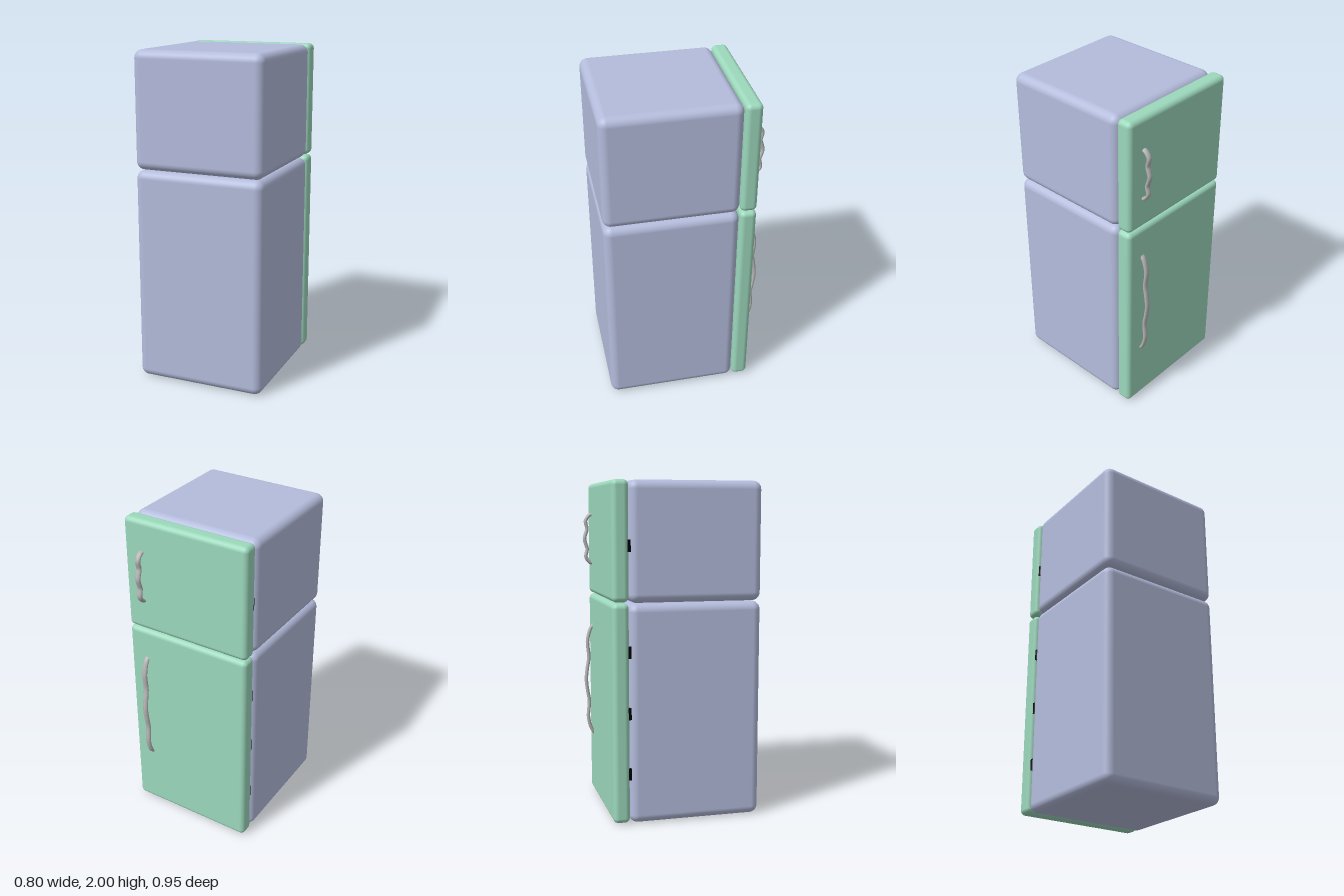
import * as THREE from 'three';
import { RoundedBoxGeometry } from 'three/addons/geometries/RoundedBoxGeometry.js';

const paint = (color) => new THREE.MeshStandardMaterial({ color });

export function createModel() {
  const model = new THREE.Group();
  const bodyMat = paint(0xb4bcdc);
  const doorMat = paint(0x9cd8bc);
  const handleMat = paint(0xb4b4b4);
  const hingeMat = paint(0x000000);

  function add(name, geometry, material, x, y, z) {
    const mesh = new THREE.Mesh(geometry, material);
    mesh.name = name;
    mesh.position.set(x, y, z);
    model.add(mesh);
    return mesh;
  }

  // Rounded slab filling the given height and depth range
  function slab(name, material, y0, y1, z0, z1, radius) {
    const geometry = new RoundedBoxGeometry(0.8, y1 - y0, z1 - z0, 5, radius);
    add(name, geometry, material, 0, (y0 + y1) / 2, (z0 + z1) / 2);
  }

  // Wavy grip: flattened tube, mirrored about its middle height
  function handle(name, yMid, half, profile) {
    const lower = profile.map(([t, z]) => new THREE.Vector3(0, -t * half, z));
    const upper = profile.slice(0, -1).reverse().map(([t, z]) => new THREE.Vector3(0, t * half, z));
    const curve = new THREE.CatmullRomCurve3([...lower, ...upper]);
    const mesh = add(name, new THREE.TubeGeometry(curve, 64, 0.011, 14), handleMat, 0.285, yMid, 0);
    mesh.scale.x = 1.55;
  }

  // Cabinet bodies
  slab('refrigeratorBody', bodyMat, 0, 1.3, -0.322, 0.475, 0.05);
  slab('freezerBody', bodyMat, 1.303, 2, -0.322, 0.475, 0.05);

  // Doors
  slab('refrigeratorDoor', doorMat, 0.008, 1.303, -0.421, -0.323, 0.03);
  slab('freezerDoor', doorMat, 1.31, 2, -0.421, -0.323, 0.03);

  // Handles, as [fraction of half length, z] from the end to the middle
  handle('refrigeratorHandle', 0.755, 0.36,
    [[1, -0.408], [0.93, -0.43], [0.7, -0.453], [0.4, -0.446], [0.2, -0.457], [0, -0.464]]);
  handle('freezerHandle', 1.655, 0.155,
    [[1, -0.408], [0.95, -0.432], [0.73, -0.456], [0.4, -0.448], [0.2, -0.457], [0, -0.464]]);

  // Hinge pins between cabinet and doors
  for (const y of [0.3, 0.66, 1.02, 1.63]) {
    add('hinge', new THREE.CylinderGeometry(0.022, 0.022, 0.07, 20), hingeMat, -0.367, y, -0.326);
  }

  return model;
}
